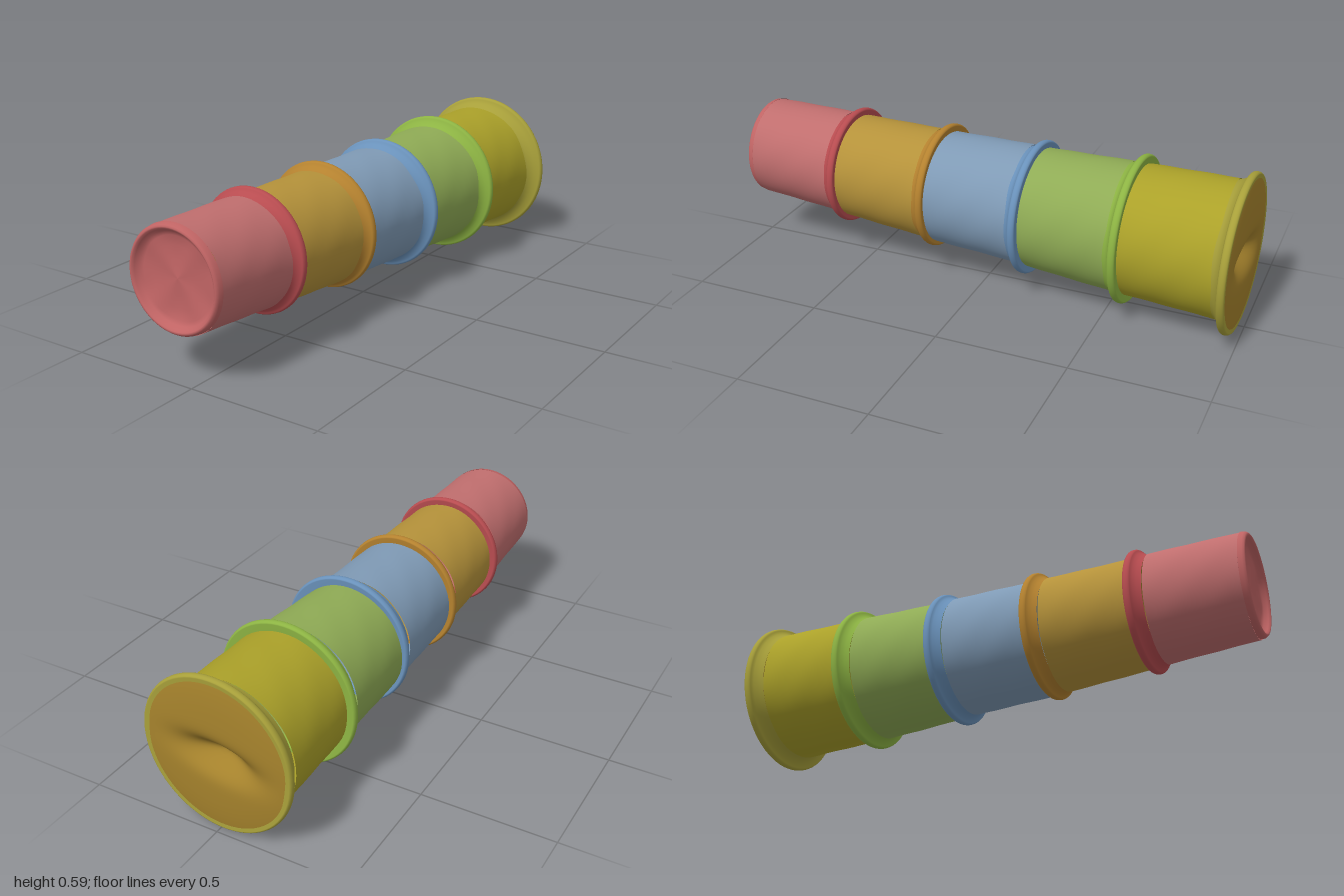
import * as THREE from 'three';

const SEG = 72;
const TILT = 0.035; // rims lean slightly across x

// Skin over circular sections [z, centreX, centreY, radius], listed front to back
function loft(name, color, sections, warp) {
  const pos = [], idx = [];
  sections.forEach(([z, cx, cy, r], i) => {
    for (let j = 0; j < SEG; j++) {
      const a = (j / SEG) * Math.PI * 2;
      const p = new THREE.Vector3(cx + r * Math.cos(a), cy + r * Math.sin(a), z);
      if (warp) warp(p);
      pos.push(p.x, p.y, p.z);
      if (i === 0) continue;
      const k = (j + 1) % SEG, a0 = (i - 1) * SEG, b0 = i * SEG;
      idx.push(a0 + j, b0 + j, a0 + k, a0 + k, b0 + j, b0 + k);
    }
  });
  const geo = new THREE.BufferGeometry();
  geo.setAttribute('position', new THREE.Float32BufferAttribute(pos, 3));
  geo.setIndex(idx);
  geo.computeVertexNormals();
  const mesh = new THREE.Mesh(geo, new THREE.MeshStandardMaterial({ color, side: THREE.DoubleSide }));
  mesh.name = name;
  return mesh;
}

// Lean the rim: its -x side sits further back
const lean = (p) => { p.z += TILT * (p.x + 0.03); };

// Each cup: body start and end as [z, x, y, r], rim as [z, x, y, r]
const CUPS = [
  { name: 'redCup', body: 0xc06e6e, rim: 0xb84c50,
    a: [0.975, -0.061, 0.359, 0.191], b: [0.64, -0.056, 0.343, 0.202], r: [0.597, -0.055, 0.341, 0.229] },
  { name: 'orangeCup', body: 0xb5923a, rim: 0xb5822f,
    a: [0.6, -0.054, 0.339, 0.203], b: [0.25, -0.046, 0.326, 0.215], r: [0.207, -0.045, 0.327, 0.241] },
  { name: 'blueCup', body: 0x7f9ab5, rim: 0x6a92bb,
    a: [0.21, -0.045, 0.322, 0.217], b: [-0.135, -0.037, 0.314, 0.226], r: [-0.18, -0.029, 0.313, 0.256] },
  { name: 'greenCup', body: 0x8fab55, rim: 0x8db443,
    a: [-0.175, -0.037, 0.311, 0.227], b: [-0.525, -0.022, 0.305, 0.243], r: [-0.57, -0.017, 0.305, 0.278] },
  { name: 'yellowCup', body: 0xaba129, rim: 0xa8a03a,
    a: [-0.565, -0.018, 0.305, 0.244], b: [-0.915, -0.012, 0.298, 0.254], r: [-0.966, 0, 0.296, 0.295] },
];

function makeCup(cup) {
  const group = new THREE.Group();
  group.name = cup.name;
  const [az, ax, ay, ar] = cup.a, [bz, bx, by, br] = cup.b, [rz, rx, ry, rr] = cup.r;
  const body = [];
  for (let i = 0; i <= 10; i++) {
    const t = i / 10, m = THREE.MathUtils.lerp;
    body.push([m(az, bz, t), m(ax, bx, t), m(ay, by, t), m(ar, br, t)]);
  }
  // slight hand-worn unevenness of the wall
  const wobble = (p) => {
    const a = Math.atan2(p.y - ay, p.x - ax);
    const w = 1 + 0.006 * Math.sin(5 * a + 14 * p.z) * Math.sin(23 * p.z + 2 * a);
    p.x = ax + (p.x - ax) * w;
    p.y = ay + (p.y - ay) * w;
  };
  group.add(loft('cupWall', cup.body, body, wobble));

  // flared lip with a rounded edge, tucking back under
  const rim = [[bz + 0.004, bx, by, br - 0.003], [bz - 0.012, bx, by, br + 0.002],
    [rz + 0.02, (bx + rx) / 2, (by + ry) / 2, br + 0.4 * (rr - br)]];
  for (let i = 0; i <= 8; i++) {
    const a = (i / 8) * Math.PI;
    rim.push([rz + 0.014 * Math.cos(a), rx, ry, rr - 0.009 + 0.009 * Math.sin(a)]);
  }
  rim.push([rz - 0.01, bx, by, br - 0.012]);
  group.add(loft('cupRim', cup.rim, rim, lean));
  return group;
}

export function createModel() {
  const model = new THREE.Group();
  model.name = 'stackedCups';
  CUPS.forEach((cup) => model.add(makeCup(cup)));

  // closed base of the smallest cup: rounded edge and shallow recess
  const x = -0.061, y = 0.36;
  const base = [[0.968, 0.0], [0.967, 0.06], [0.968, 0.11], [0.971, 0.145], [0.978, 0.16], [0.992, 0.168],
    [0.999, 0.174], [1, 0.179], [0.997, 0.184], [0.99, 0.189], [0.975, 0.191]]
    .map(([z, r]) => [z, x, y, r]);
  model.add(loft('smallCupBase', 0xc06464, base, (p) => {
    if (Math.hypot(p.x - x, p.y - y) < 0.15) p.z += 0.004 * Math.sin(38 * p.x + 1) * Math.sin(31 * p.y);
  }));

  // closed end of the largest cup, with a lens-shaped dent across the middle
  const end = [];
  for (let i = 0; i <= 24; i++) {
    const t = 1 - i / 24;
    end.push([-0.976 - 0.014 * (1 - t ** 4), 0, 0.296, 0.288 * t]);
  }
  model.add(loft('largeCupEnd', 0xa5822c, end, (p) => {
    lean(p);
    const u = (p.x + 0.01) / 0.13, v = (p.y - 0.29 - 0.1 * p.x) / 0.05;
    p.z += 0.07 * Math.exp(-(u * u + v * v));
  }));
  return model;
}
